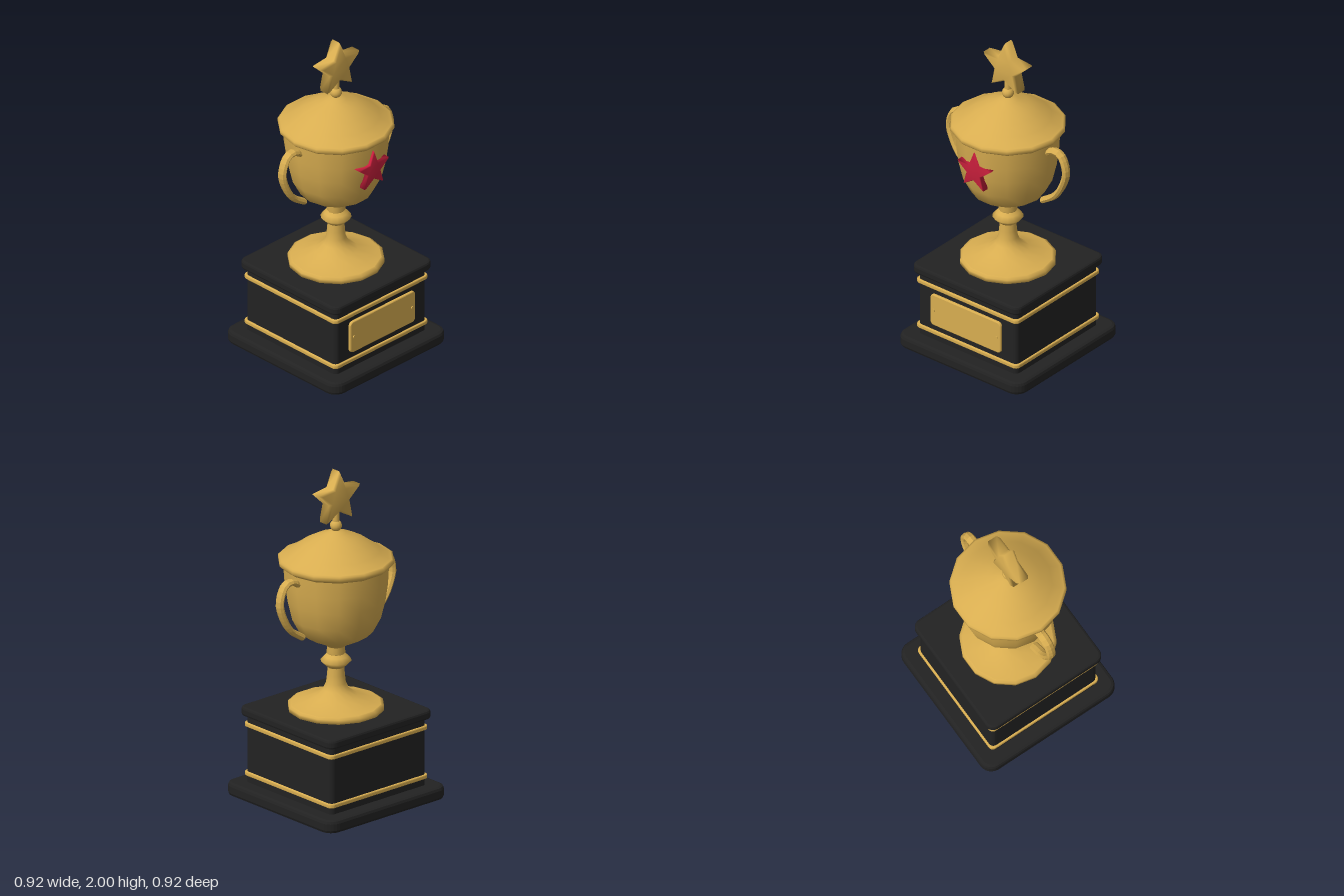
import * as THREE from 'three';
import { mergeVertices } from 'three/addons/utils/BufferGeometryUtils.js';

const gold = new THREE.MeshStandardMaterial({ color: 0xd8ad50 });
const black = new THREE.MeshStandardMaterial({ color: 0x222222 });
const red = new THREE.MeshStandardMaterial({ color: 0xc41e3a });
gold.name = 'gold';
black.name = 'black';
red.name = 'red';

export function createModel() {
  const model = new THREE.Group();
  model.name = 'trophy';

  function add(name, geometry, material, x = 0, y = 0, z = 0) {
    const mesh = new THREE.Mesh(geometry, material);
    mesh.name = name;
    mesh.position.set(x, y, z);
    model.add(mesh);
    return mesh;
  }

  // 14-sided turned part from [radius, height] pairs, bottom to top
  const turned = (name, points) => add(name, new THREE.LatheGeometry(
    points.map(([r, y]) => new THREE.Vector2(r, y)), 14, Math.PI / 2), gold);

  function roundedRect(w, h, r) {
    const s = new THREE.Shape();
    const q = Math.PI / 2;
    s.absarc(w - r, h - r, r, 0, q);
    s.absarc(r - w, h - r, r, q, 2 * q);
    s.absarc(r - w, r - h, r, 2 * q, 3 * q);
    s.absarc(w - r, r - h, r, 3 * q, 4 * q);
    return s;
  }

  // Bevelled solid whose depth is centred on z = 0
  function bevelled(shape, depth, bevel, curveSegments = 3) {
    const g = new THREE.ExtrudeGeometry(shape, {
      depth: depth - 2 * bevel, bevelThickness: bevel, bevelSize: bevel,
      bevelOffset: -bevel, bevelSegments: 2, curveSegments,
    });
    return g.translate(0, 0, bevel - depth / 2);
  }

  // Square plinth layer between two heights
  function slab(name, half, y0, y1, corner, bevel, material) {
    const g = bevelled(roundedRect(half, half, corner), y1 - y0, bevel);
    add(name, g.rotateX(-Math.PI / 2), material, 0, (y0 + y1) / 2, 0);
  }

  // Five-pointed star with softened shading
  function star(outer, inner, depth, bevel) {
    const pts = [];
    for (let i = 0; i < 10; i++) {
      const r = i % 2 ? inner : outer;
      const a = Math.PI / 2 + i * Math.PI / 5;
      pts.push(new THREE.Vector2(r * Math.cos(a), r * Math.sin(a)));
    }
    const g = new THREE.ExtrudeGeometry(new THREE.Shape(pts), {
      depth: depth - 2 * bevel, bevelThickness: bevel, bevelSize: bevel,
      bevelOffset: -bevel, bevelSegments: 1,
    }).translate(0, 0, bevel - depth / 2);
    g.deleteAttribute('uv');
    g.deleteAttribute('normal');
    const smooth = mergeVertices(g, 1e-4);
    smooth.computeVertexNormals();
    return smooth;
  }

  // Plinth
  slab('plinthBase', 0.46, 0, 0.08, 0.075, 0.02, black);
  slab('plinthBody', 0.368, 0.07, 0.5, 0.03, 0.01, black);
  slab('plinthTop', 0.398, 0.488, 0.543, 0.05, 0.014, black);
  for (const y of [0.133, 0.433]) slab('plinthBand', 0.379, y - 0.013, y + 0.013, 0.03, 0.006, gold);

  // Name plate with two screws
  add('namePlate', bevelled(roundedRect(0.262, 0.102, 0.025), 0.024, 0.006), gold, 0, 0.287, 0.372);
  for (const x of [-0.235, 0.235]) {
    add('plateScrew', new THREE.CylinderGeometry(0.01, 0.01, 0.008, 10).rotateX(Math.PI / 2),
      gold, x, 0.287, 0.386);
  }

  // Foot, stem and knot
  turned('footRim', [[0, 0.54], [0.28, 0.54], [0.28, 0.568], [0.262, 0.578]]);
  turned('foot', [[0.262, 0.578], [0.21, 0.59], [0.125, 0.622], [0.075, 0.66], [0.058, 0.7],
    [0.052, 0.75], [0.048, 0.81]]);
  turned('knot', [[0.048, 0.795], [0.068, 0.813], [0.09, 0.836], [0.068, 0.862], [0.048, 0.882]]);
  turned('collar', [[0.048, 0.875], [0.055, 0.885], [0.052, 0.92], [0.058, 0.935]]);

  // Bowl, rim and lid
  turned('bowl', [[0.053, 0.925], [0.08, 0.945], [0.15, 0.978], [0.215, 1.02], [0.262, 1.11],
    [0.288, 1.22], [0.302, 1.32], [0.308, 1.425]]);
  turned('rim', [[0.306, 1.42], [0.325, 1.432], [0.337, 1.445], [0.337, 1.465], [0.325, 1.472]]);
  turned('lid', [[0.337, 1.465], [0.305, 1.477], [0.255, 1.51], [0.19, 1.557], [0.12, 1.595],
    [0.06, 1.617], [0.035, 1.63], [0, 1.635]]);

  // Finial and top star
  add('finialBall', new THREE.SphereGeometry(0.035, 14, 10), gold, 0, 1.662, 0);
  add('finialStem', new THREE.CylinderGeometry(0.018, 0.022, 0.1, 10), gold, 0, 1.73, 0);
  add('topStar', star(0.167, 0.082, 0.084, 0.014), gold, 0, 1.834, 0);

  // Front star
  add('frontStar', star(0.126, 0.055, 0.05, 0.006), red, 0, 1.27, 0.29);

  // Handles: an oval section swept along a curve, mirrored
  const section = new THREE.Shape();
  section.absellipse(0, 0, 0.029, 0.02, 0, Math.PI * 2);
  for (const side of [-1, 1]) {
    const path = new THREE.CatmullRomCurve3([
      [0.295, 1.375], [0.325, 1.395], [0.362, 1.402], [0.4, 1.384], [0.433, 1.29],
      [0.41, 1.2], [0.352, 1.106], [0.262, 1.042],
    ].map(([x, y]) => new THREE.Vector3(side * x, y, 0)));
    const g = new THREE.ExtrudeGeometry(section, {
      steps: 18, curveSegments: 4, extrudePath: path, bevelEnabled: false,
    });
    add(side > 0 ? 'leftHandle' : 'rightHandle', g, gold);
  }

  return model;
}
